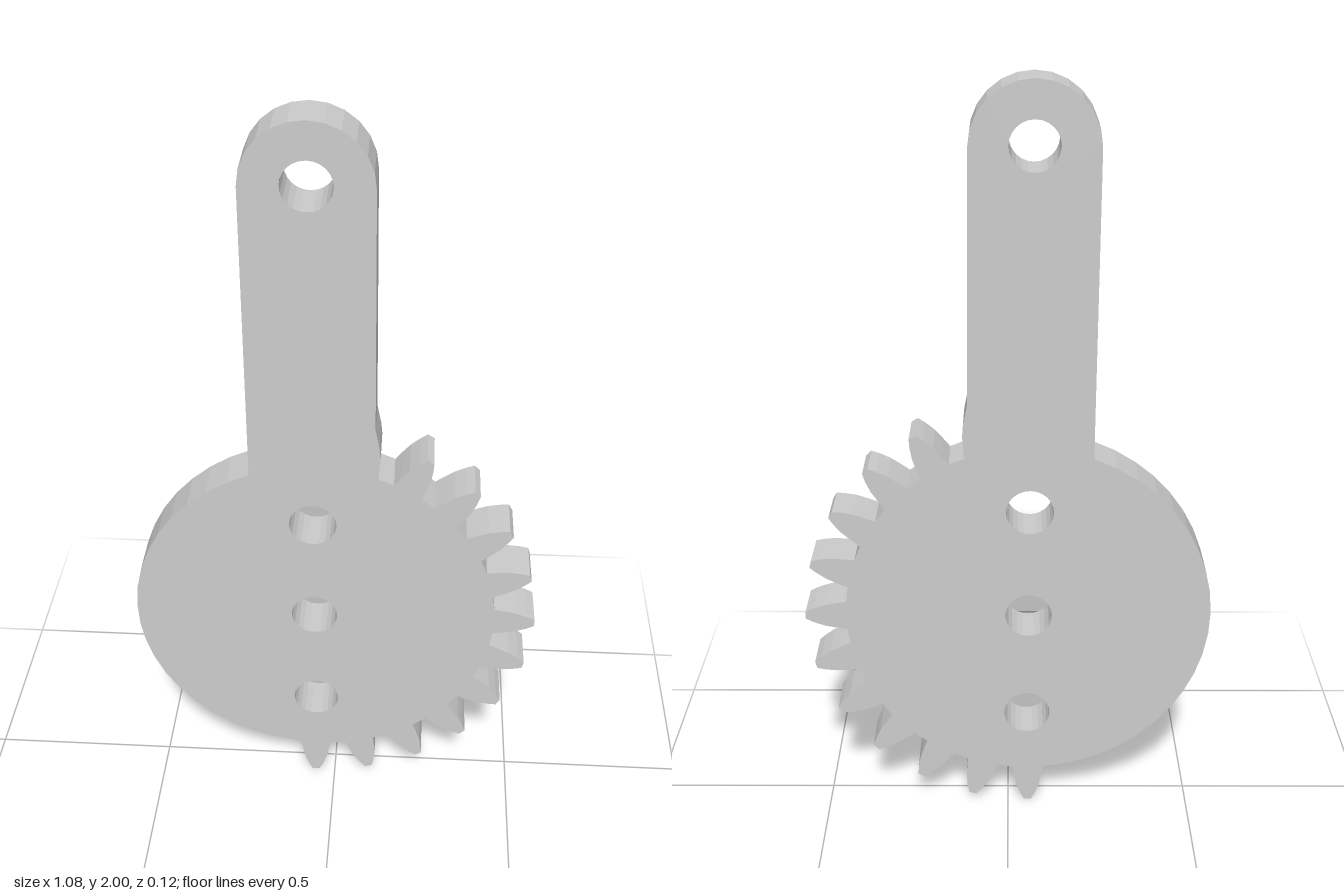
import * as THREE from 'three';

const CX = -0.055, CY = 0.595;   // gear centre
const ROOT = 0.485;              // gear body radius
const DEPTH = 0.12;
const HOLE = 0.062;
const rad = THREE.MathUtils.degToRad;

// One tooth flank: distance from the gear centre, half width of the tooth
const FLANK = [[0.485, 0.042], [0.515, 0.037], [0.545, 0.031], [0.575, 0.02], [0.595, 0.01]];

// Point on a tooth pointing along the given angle
function toothPoint(deg, r, w) {
  const c = Math.cos(rad(deg)), s = Math.sin(rad(deg));
  return new THREE.Vector2(CX + r * c - w * s, CY + r * s + w * c);
}

function arc(points, cx, cy, r, from, to, steps) {
  for (let i = 0; i <= steps; i++) {
    const a = rad(from + (to - from) * i / steps);
    points.push(new THREE.Vector2(cx + r * Math.cos(a), cy + r * Math.sin(a)));
  }
}

export function createModel() {
  const group = new THREE.Group();
  group.name = 'gearLever';
  const outline = [];

  // Teeth every 15 degrees, from the bottom round to the arm
  for (let deg = -90; deg <= 60; deg += 15) {
    FLANK.forEach(([r, w]) => outline.push(toothPoint(deg, r, -w)));
    [...FLANK].reverse().forEach(([r, w]) => outline.push(toothPoint(deg, r, w)));
  }
  // Last tooth runs into the arm: only its outer flank shows
  FLANK.forEach(([r, w]) => outline.push(toothPoint(75, r, -w)));

  // Arm with a round end, leaning very slightly
  outline.push(new THREE.Vector2(0.102, 1.2));
  arc(outline, -0.063, 1.842, 0.158, 0, 180, 12);

  // Plain round side of the gear body
  arc(outline, CX, CY, ROOT, 109.8, 263, 20);

  const shape = new THREE.Shape(outline);

  // Pivot holes
  for (const [x, y] of [[-0.063, 1.845], [-0.057, 0.9], [CX, CY], [-0.052, 0.29]]) {
    const points = [];
    arc(points, x, y, HOLE, 360, 15, 23);
    shape.holes.push(new THREE.Path(points));
  }

  const geometry = new THREE.ExtrudeGeometry(shape, { depth: DEPTH, bevelEnabled: false });
  geometry.translate(0, 0, -DEPTH / 2);
  const lever = new THREE.Mesh(geometry,
    new THREE.MeshStandardMaterial({ color: 0xcccccc, flatShading: true }));
  lever.name = 'toothedLeverPlate';
  group.add(lever);
  return group;
}
